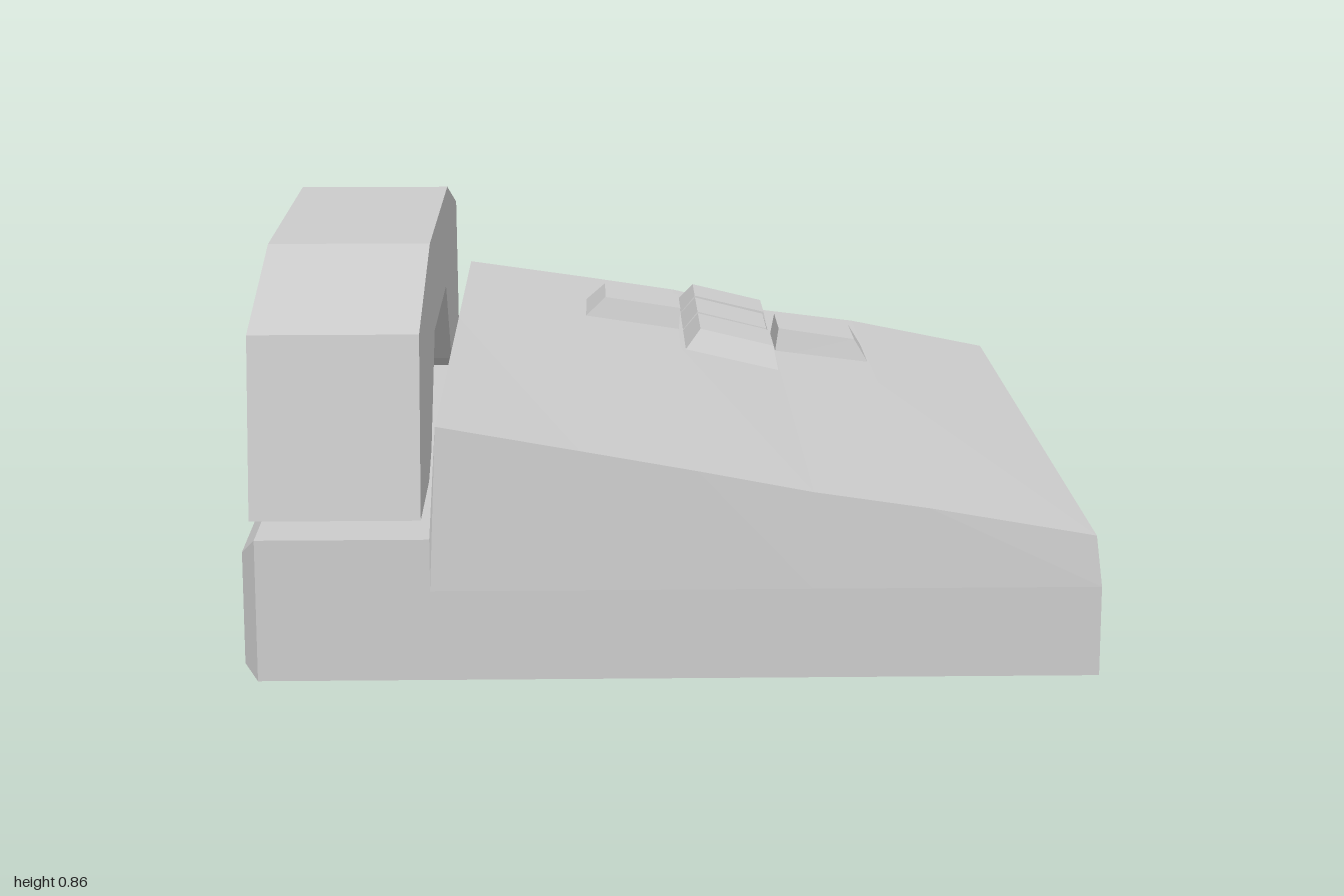
import * as THREE from 'three';

const material = new THREE.MeshStandardMaterial({ color: 0xcccccc, flatShading: true });

// Skin matching rings of [x, y, z] points and cap both ends
function loft(rings) {
  const pos = [];
  const tri = (a, b, c) => pos.push(...a, ...b, ...c);
  const n = rings[0].length;
  for (let i = 0; i < rings.length - 1; i++) {
    for (let j = 0; j < n; j++) {
      const k = (j + 1) % n;
      tri(rings[i][j], rings[i][k], rings[i + 1][k]);
      tri(rings[i][j], rings[i + 1][k], rings[i + 1][j]);
    }
  }
  const first = rings[0], last = rings[rings.length - 1];
  for (let j = 1; j < n - 1; j++) {
    tri(first[0], first[j + 1], first[j]);
    tri(last[0], last[j], last[j + 1]);
  }
  const geo = new THREE.BufferGeometry();
  geo.setAttribute('position', new THREE.Float32BufferAttribute(pos, 3));
  geo.computeVertexNormals();
  return geo;
}

function addMesh(parent, name, geometry) {
  const mesh = new THREE.Mesh(geometry, material);
  mesh.name = name;
  parent.add(mesh);
}

// Body cross-section: x at base and top, top height at front and back, half widths
function section(x, xTop, yFront, yBack, zTop, z = 1, yBase = 0, yMid = 0.2) {
  return [
    [x, yBase, -z], [x, yMid, -z],
    [xTop, yBack, -zTop], [xTop, yBack, -0.88], [xTop, yBack, -0.2], [xTop, yFront, zTop],
    [x, yMid, z], [x, yBase, z],
  ];
}

// Tapered key; base and top are [x0, x1, z0, z1], heights are [y at x0, y at x1]
function key(base, top, yBase, yTop) {
  const ring = ([x0, x1, z0, z1], [y0, y1]) =>
    [[x0, y0, z1], [x1, y1, z1], [x1, y1, z0], [x0, y0, z0]];
  return loft([ring(base, yBase), ring(top, yTop)]);
}

export function createModel() {
  const model = new THREE.Group();
  model.name = 'deskTelephone';

  // Wedge body with a cradle shelf and bevelled outer end
  addMesh(model, 'body', loft([
    section(-0.93, -0.93, 0.28, 0.28, 0.965, 0.965, 0.03),
    section(-0.9, -0.9, 0.315, 0.315, 1),
    section(-0.525, -0.525, 0.315, 0.315, 1),
    section(-0.525, -0.51, 0.56, 0.56, 0.985),
    section(-0.2, -0.2, 0.505, 0.515, 0.987),
    section(0.05, 0.05, 0.46, 0.477, 0.988),
    section(0.3, 0.3, 0.412, 0.418, 0.988),
    section(0.55, 0.55, 0.375, 0.386, 0.989),
    section(0.925, 0.912, 0.312, 0.312, 0.99),
  ]));

  // Handset: arched profile across the depth
  const half = [[0.955, 0.345], [0.895, 0.742], [0.42, 0.857]];
  const inner = [[0.28, 0.625], [0.5, 0.39], [0.62, 0.345]];
  const mirror = (pts) => pts.map(([z, y]) => [-z, y]).reverse();
  const outline = [...half, ...mirror(half), ...mirror(inner), ...inner];
  const shape = new THREE.Shape(outline.map(([z, y]) => new THREE.Vector2(z, y)));
  const handset = new THREE.ExtrudeGeometry(shape, { depth: 0.37, bevelEnabled: false });
  handset.rotateY(Math.PI / 2).translate(-0.915, 0, 0);
  addMesh(model, 'handset', handset);

  // Cross of five keys
  const keys = new THREE.Group();
  keys.name = 'keypad';
  model.add(keys);
  const midBase = [0.46, 0.4], midTop = [0.52, 0.475];
  addMesh(keys, 'centreKey', key([0.05, 0.305, -0.665, -0.445], [0.1, 0.28, -0.65, -0.455], midBase, midTop));
  addMesh(keys, 'innerKey', key([-0.205, 0.05, -0.67, -0.44], [-0.14, 0.055, -0.65, -0.455], [0.5, 0.46], [0.56, 0.53]));
  addMesh(keys, 'outerKey', key([0.3, 0.555, -0.67, -0.44], [0.312, 0.51, -0.65, -0.455], [0.4, 0.37], [0.475, 0.445]));
  addMesh(keys, 'backKey', key([0.05, 0.3, -0.88, -0.67], [0.1, 0.285, -0.84, -0.675], midBase, midTop));
  addMesh(keys, 'frontKey', key([0.05, 0.3, -0.44, -0.19], [0.1, 0.285, -0.435, -0.235], midBase, midTop));

  return model;
}
